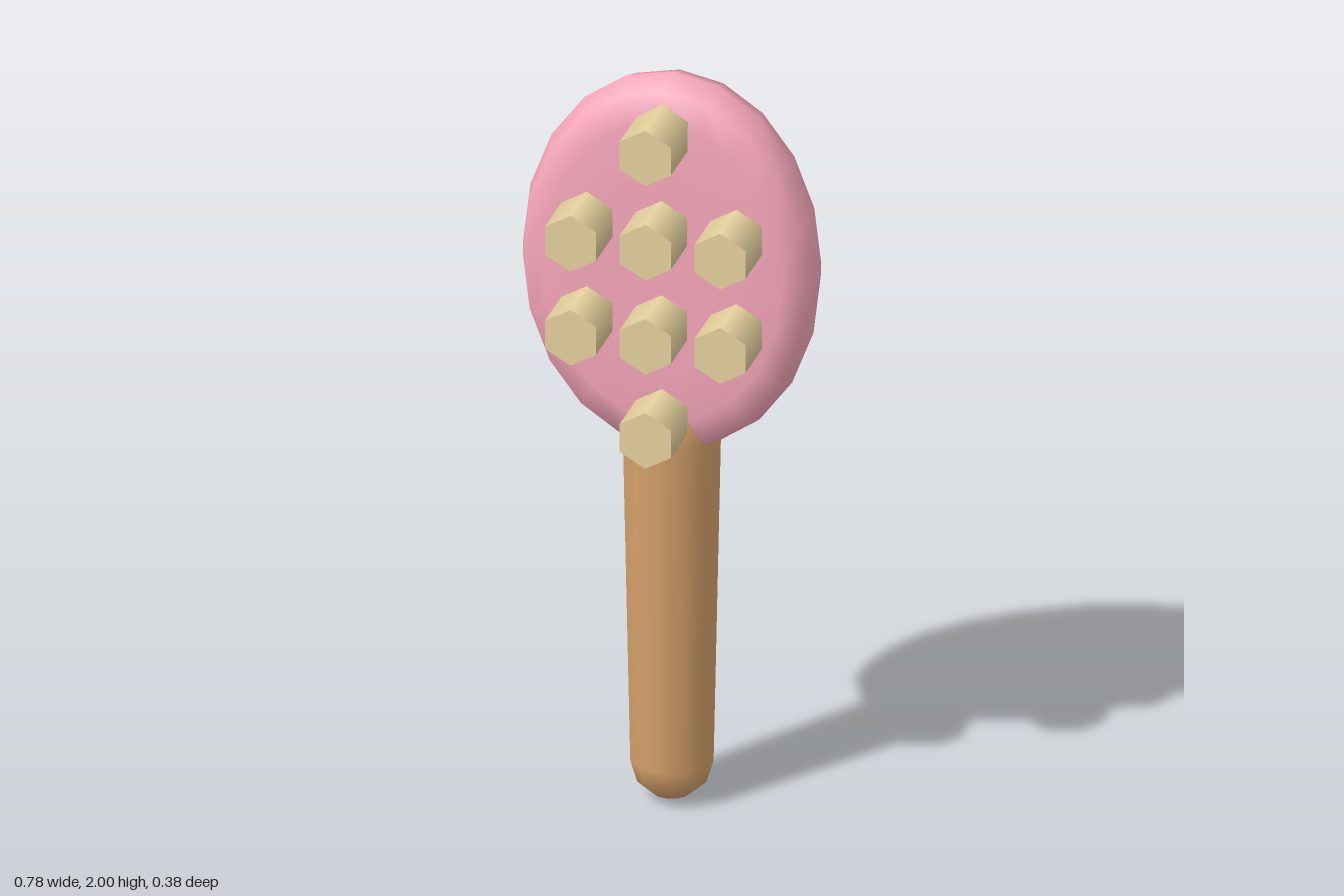
import * as THREE from 'three';
import { toCreasedNormals } from 'three/addons/utils/BufferGeometryUtils.js';

const MID_Z = -0.053; // middle plane of the head and handle

function part(name, geometry, color) {
  const mesh = new THREE.Mesh(geometry, new THREE.MeshStandardMaterial({ color }));
  mesh.name = name;
  return mesh;
}

const profile = (pairs) => pairs.map(([r, y]) => new THREE.Vector2(r, y));

export function createModel() {
  const model = new THREE.Group();
  model.name = 'hairbrush';

  // Oval head: a rounded disc turned to face forward, then stretched
  const headGeo = new THREE.LatheGeometry(profile([
    [0, -0.094], [0.5, -0.094], [0.8, -0.092], [0.95, -0.072], [1, 0],
    [0.95, 0.072], [0.8, 0.092], [0.5, 0.095], [0, 0.095],
  ]), 20);
  headGeo.rotateX(Math.PI / 2).scale(0.388, 0.515, 1);
  const head = part('head', headGeo, 0xf8a8bc);
  head.position.set(0, 1.485, MID_Z);
  model.add(head);

  // Tapered handle with rounded ends
  const handleGeo = new THREE.LatheGeometry(profile([
    [0, 0], [0.05, 0.015], [0.09, 0.05], [0.108, 0.11],
    [0.127, 1.01], [0.118, 1.07], [0.09, 1.125], [0.05, 1.155], [0, 1.165],
  ]), 12);
  const handle = part('handle', handleGeo, 0xd4a06a);
  handle.position.z = MID_Z;
  model.add(handle);

  // Hexagonal bristles on the front face
  const bristles = new THREE.Group();
  bristles.name = 'bristles';
  const bristleGeo = new THREE.CylinderGeometry(0.077, 0.077, 0.165, 6).rotateX(Math.PI / 2);
  const rows = [[1.868, [0]], [1.608, [-0.195, 0, 0.195]], [1.348, [-0.195, 0, 0.195]], [1.088, [0]]];
  for (const [y, columns] of rows) {
    for (const x of columns) {
      const bristle = part('bristle', bristleGeo, 0xe8d3a0);
      bristle.position.set(x, y, 0.1075);
      bristles.add(bristle);
    }
  }
  model.add(bristles);

  // Raised heart on the back
  const shape = new THREE.Shape();
  shape.moveTo(0, 1.32);
  shape.bezierCurveTo(0.03, 1.385, 0.145, 1.43, 0.145, 1.515);
  shape.bezierCurveTo(0.145, 1.605, 0.02, 1.612, 0, 1.53);
  shape.bezierCurveTo(-0.02, 1.612, -0.145, 1.605, -0.145, 1.515);
  shape.bezierCurveTo(-0.145, 1.43, -0.03, 1.385, 0, 1.32);
  const heartGeo = new THREE.ExtrudeGeometry(shape, { depth: 0.06, bevelEnabled: false, curveSegments: 10 });
  const heart = part('heart', toCreasedNormals(heartGeo, 0.7), 0xe8e2d4);
  heart.position.z = -0.191;
  model.add(heart);

  return model;
}
